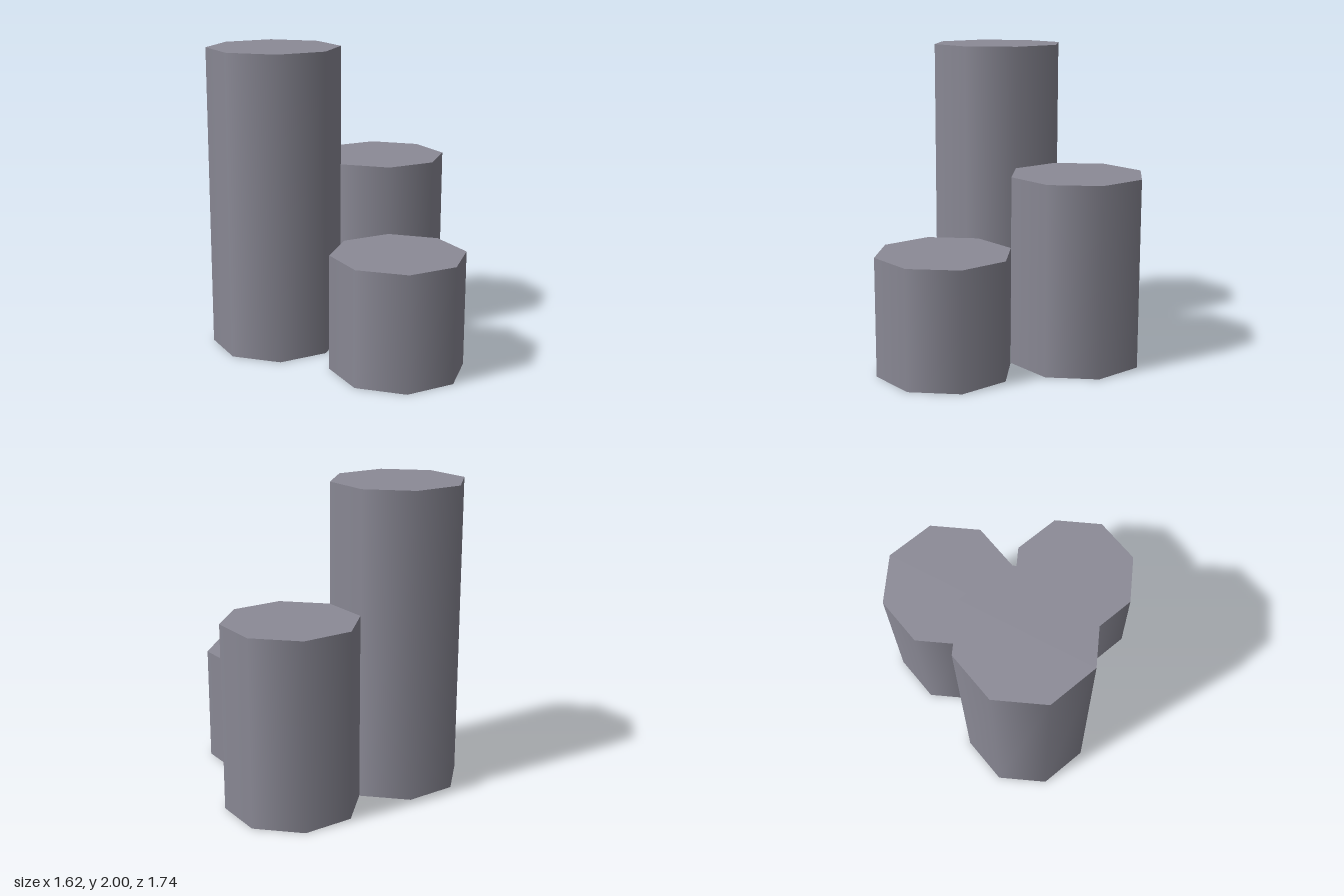
import * as THREE from 'three';

export function createModel() {
  const group = new THREE.Group();
  group.name = 'pillarCluster';

  const stone = new THREE.MeshStandardMaterial({ color: 0x8b8a96 });
  stone.name = 'stoneGrey';

  // Eight-sided pillar with smooth sides and flat caps, standing on the ground
  const radius = 0.436;
  function addPillar(name, x, z, height) {
    const geometry = new THREE.CylinderGeometry(radius, radius, height, 8);
    geometry.translate(0, height / 2, 0);
    const pillar = new THREE.Mesh(geometry, stone);
    pillar.name = name;
    pillar.position.set(x, 0, z);
    group.add(pillar);
  }

  addPillar('tallPillar', -0.374, -0.133, 2);
  addPillar('middlePillar', 0.37, -0.437, 1.215);
  addPillar('shortPillar', 0.368, 0.436, 0.762);

  return group;
}
